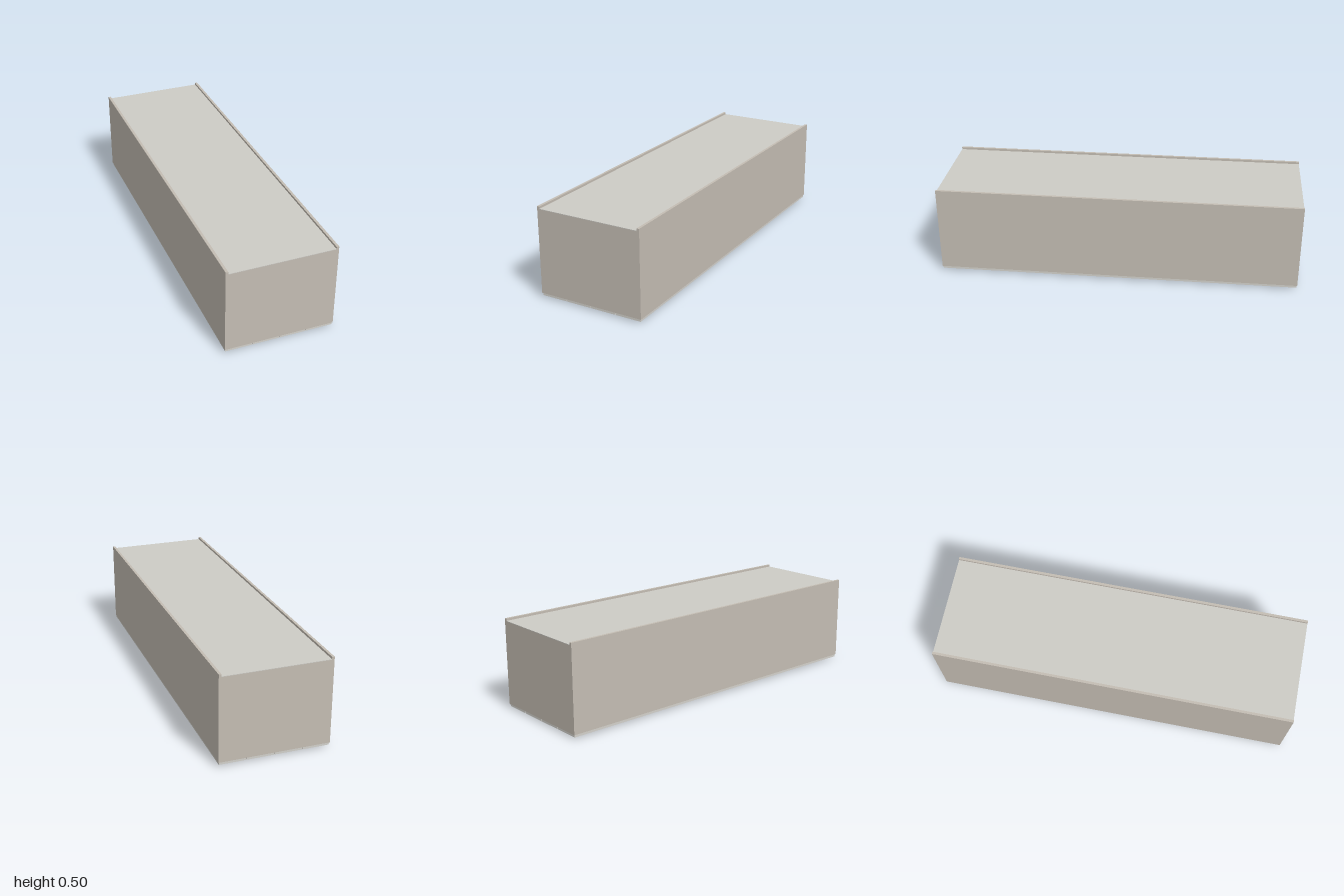
import * as THREE from 'three';

const paint = (color) => new THREE.MeshStandardMaterial({ color });

export function createModel() {
  const model = new THREE.Group();
  model.name = 'wardrobe';
  const carcass = paint(0xc4bdb3);
  const backing = paint(0xcdccc6);
  const front = paint(0xd3d1cb);
  const metal = paint(0x777779);

  // Box given by its limits on each axis
  const panel = (name, [x0, x1], [y0, y1], [z0, z1], material) => {
    const mesh = new THREE.Mesh(new THREE.BoxGeometry(x1 - x0, y1 - y0, z1 - z0), material);
    mesh.position.set((x0 + x1) / 2, (y0 + y1) / 2, (z0 + z1) / 2);
    mesh.name = name;
    model.add(mesh);
  };

  const half = 0.3, board = 0.014, inner = half - board;
  const bottom = 0.025, top = 0.503, backTop = 0.491, backUnder = 0.488;

  // Long side boards, standing proud of the back as lips
  panel('leftSide', [inner, half], [bottom, top], [-1, 1], carcass);
  panel('rightSide', [-half, -inner], [bottom, top], [-1, 1], carcass);

  // End boards between the sides, and the central divider
  panel('frontEnd', [-inner, inner], [bottom, backUnder], [1 - board, 1], carcass);
  panel('backEnd', [-inner, inner], [bottom, backUnder], [-1, -1 + board], carcass);
  panel('divider', [-board / 2, board / 2], [bottom, backUnder], [-1 + board, 1 - board], carcass);

  // Thin back sheet closing the upper face
  panel('backSheet', [-inner, inner], [backUnder, backTop], [-1, 1], backing);

  // Four doors underneath, each with a bar handle near the front end
  const pitch = 0.149, doorHalf = 0.0728, handleHalf = 0.041;
  for (let i = 0; i < 4; i++) {
    const x = (i - 1.5) * pitch;
    panel(`door${i + 1}`, [x - doorHalf, x + doorHalf], [0.011, bottom - 0.0005], [-0.996, 0.996], front);
    panel(`handle${i + 1}`, [x - handleHalf, x + handleHalf], [0, 0.011], [0.929, 0.942], metal);
  }
  return model;
}
